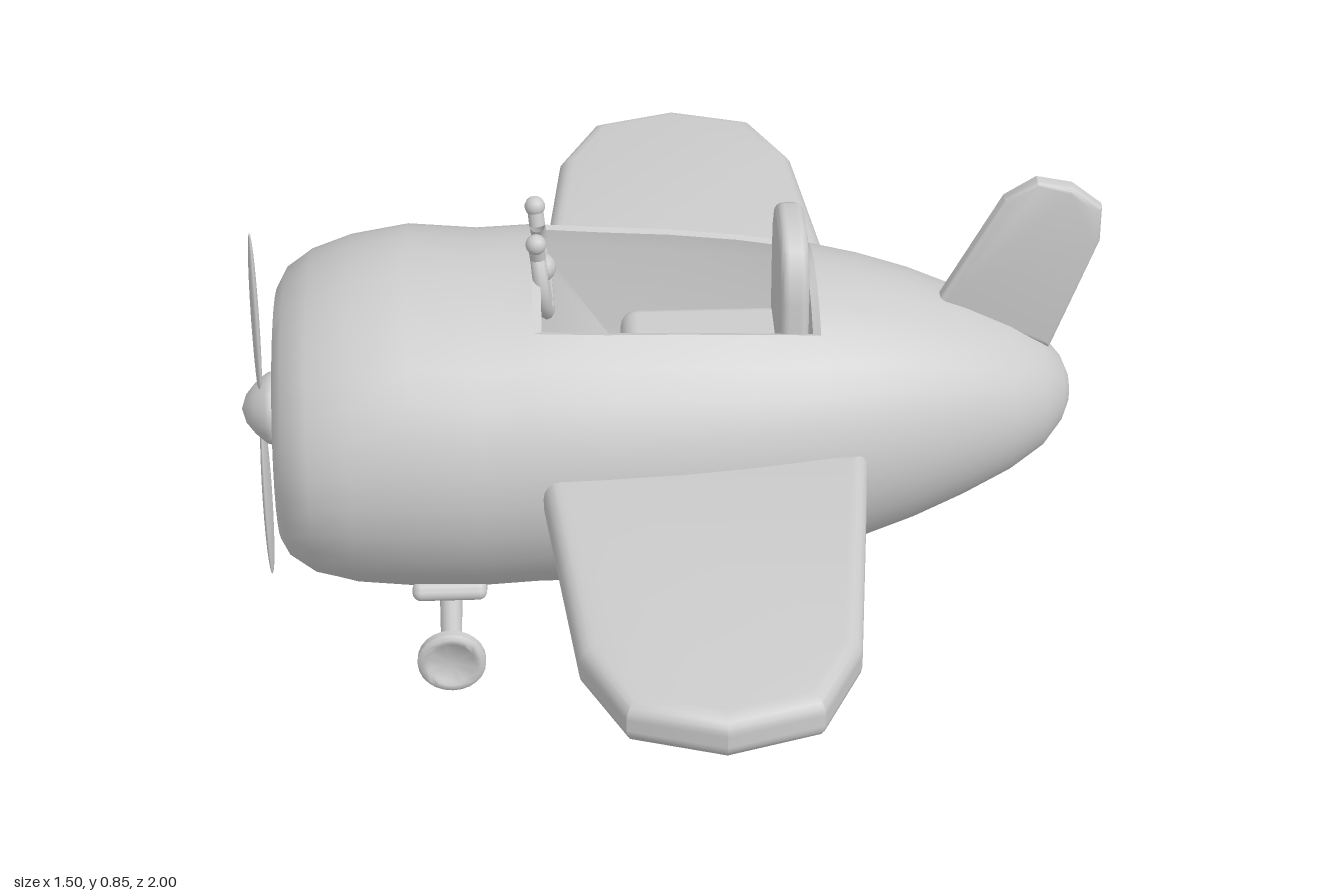
import * as THREE from 'three';
import { toCreasedNormals } from 'three/addons/utils/BufferGeometryUtils.js';
import { RoundedBoxGeometry } from 'three/addons/geometries/RoundedBoxGeometry.js';

const material = new THREE.MeshStandardMaterial({ color: 0xcccccc, side: THREE.DoubleSide });
const V = (x, y, z) => new THREE.Vector3(x, y, z);

function add(parent, name, geometry, x = 0, y = 0, z = 0) {
  const mesh = new THREE.Mesh(geometry, material);
  mesh.name = name;
  mesh.position.set(x, y, z);
  parent.add(mesh);
  return mesh;
}

// Surface through closed rings of points; skip(i, j) leaves a face out
function loft(rings, skip = () => false) {
  const n = rings[0].length, index = [];
  for (let i = 0; i < rings.length - 1; i++) {
    for (let j = 0; j < n; j++) {
      if (skip(i, j)) continue;
      const k = (j + 1) % n, a = i * n, b = a + n;
      index.push(a + j, a + k, b + j, a + k, b + k, b + j);
    }
  }
  const geometry = new THREE.BufferGeometry().setFromPoints(rings.flat());
  geometry.setIndex(index);
  return toCreasedNormals(geometry, 0.75);
}

// Flat outline with rounded edges, centred on its own thickness
function slab(points, thickness, bevel) {
  const shape = new THREE.Shape(points.map(([x, y]) => new THREE.Vector2(x, y)));
  const depth = thickness - 2 * bevel;
  const geometry = new THREE.ExtrudeGeometry(shape, {
    depth, bevelThickness: bevel, bevelSize: bevel, bevelOffset: -bevel, bevelSegments: 4,
  });
  return toCreasedNormals(geometry.translate(0, 0, -depth / 2), 0.6);
}

// Round bar between two points
function bar(parent, name, a, b, radius) {
  const mesh = add(parent, name, new THREE.CylinderGeometry(radius, radius, a.distanceTo(b), 14));
  mesh.position.copy(a).add(b).multiplyScalar(0.5);
  mesh.quaternion.setFromUnitVectors(V(0, 1, 0), b.clone().sub(a).normalize());
  return mesh;
}

// Fuselage stations: x, centre height, half height, half width
const SIDES = 32, RIM = 3;
const STATIONS = [
  [-0.59, 0.42, 0, 0], [-0.59, 0.42, 0.18, 0.185], [-0.655, 0.42, 0.187, 0.195],
  [-0.678, 0.415, 0.2, 0.215], [-0.682, 0.415, 0.215, 0.24], [-0.665, 0.42, 0.24, 0.285],
  [-0.62, 0.42, 0.272, 0.315], [-0.55, 0.423, 0.297, 0.328], [-0.45, 0.427, 0.312, 0.335],
  [-0.33, 0.42, 0.306, 0.337], [-0.235, 0.425, 0.306, 0.335], [-0.11, 0.421, 0.302, 0.33],
  [0.01, 0.421, 0.296, 0.321], [0.13, 0.422, 0.284, 0.306], [0.255, 0.425, 0.266, 0.283],
  [0.34, 0.427, 0.246, 0.26], [0.43, 0.429, 0.217, 0.229], [0.52, 0.43, 0.18, 0.19],
  [0.6, 0.43, 0.14, 0.15], [0.66, 0.43, 0.1, 0.106], [0.695, 0.43, 0.058, 0.06],
  [0.708, 0.43, 0.027, 0.028], [0.712, 0.43, 0, 0],
];
const FRONT = 10, REAR = 14; // stations at the ends of the cockpit

function surfacePoint(i, j) {
  const [x, cy, ry, rz] = STATIONS[i], a = (j / SIDES) * Math.PI * 2;
  return V(x, cy + ry * Math.cos(a), rz * Math.sin(a));
}

function buildFuselage(group) {
  const rings = STATIONS.map((_, i) => Array.from({ length: SIDES }, (_, j) => surfacePoint(i, j)));
  const open = (i, j) => i >= FRONT && i < REAR && (j < RIM || j >= SIDES - RIM);
  add(group, 'fuselage', loft(rings, open));

  // Cockpit tub drops from the opening, with a narrow lip, to a smaller floor
  const rim = [];
  for (let j = -RIM; j < RIM; j++) rim.push(surfacePoint(FRONT, j));
  for (let i = FRONT; i < REAR; i++) rim.push(surfacePoint(i, RIM));
  for (let j = RIM; j > -RIM; j--) rim.push(surfacePoint(REAR, j));
  for (let i = REAR; i > FRONT; i--) rim.push(surfacePoint(i, -RIM));
  const clamp = THREE.MathUtils.clamp;
  const lip = rim.map((p) => V(clamp(p.x, -0.22, 0.242), p.y - 0.004, p.z * 0.93));
  const under = lip.map((p) => V(p.x, Math.min(p.y - 0.03, 0.64), p.z));
  const floor = rim.map((p) => V(clamp(p.x, -0.08, 0.24), 0.45, p.z * 0.74));
  const middle = rim.map(() => V(0.08, 0.45, 0));
  add(group, 'cockpitTub', loft([rim, lip, under, floor, middle]));
}

function buildWings(group) {
  const outline = [[-0.232, 0.25], [0.332, 0.25], [0.275, 0.8], [0.205, 0.95],
    [0.05, 1], [-0.105, 0.95], [-0.175, 0.8]];
  for (const side of [1, -1]) {
    const geometry = slab(outline, 0.08, 0.03).rotateX(side * Math.PI / 2);
    add(group, side > 0 ? 'leftWing' : 'rightWing', geometry, 0, 0.433, 0);
  }
  const fin = [[0.47, 0.62], [0.67, 0.52], [0.747, 0.735], [0.747, 0.8],
    [0.695, 0.842], [0.632, 0.855], [0.577, 0.82]];
  add(group, 'tailFin', slab(fin, 0.034, 0.012));
}

function buildPropeller(group) {
  const propeller = new THREE.Group();
  propeller.name = 'propeller';
  propeller.position.set(0, 0.425, 0);
  group.add(propeller);
  bar(propeller, 'hub', V(-0.59, 0, 0), V(-0.685, 0, 0), 0.05);
  const profile = [[0, 0], [0.06, 0], [0.066, 0.008], [0.062, 0.02], [0.045, 0.04], [0.025, 0.056], [0, 0.064]];
  const spinner = new THREE.LatheGeometry(profile.map(([r, y]) => new THREE.Vector2(r, y)), 20);
  add(propeller, 'spinner', spinner.rotateZ(Math.PI / 2), -0.685);
  // Tapered blades, thin along x
  for (const side of [1, -1]) {
    const blade = new THREE.SphereGeometry(1, 14, 14).scale(0.007, 0.17, 0.029);
    add(propeller, 'blade', blade, -0.715, side * 0.185, 0).rotation.y = side * 0.12;
  }
}

function buildSeat(group) {
  add(group, 'seatCushion', new RoundedBoxGeometry(0.29, 0.11, 0.22, 3, 0.03), 0.065, 0.5, 0);
  const outline = [[-0.118, 0.48], [0.118, 0.48], [0.118, 0.68], [0.11, 0.73],
    [0.085, 0.77], [0.045, 0.79], [-0.045, 0.79], [-0.085, 0.77], [-0.11, 0.73], [-0.118, 0.68]];
  add(group, 'seatBack', slab(outline, 0.05, 0.016).rotateY(Math.PI / 2), 0.213);
}

function buildSteering(group) {
  const yoke = new THREE.Group();
  yoke.name = 'steeringWheel';
  yoke.position.set(-0.218, 0.7, 0);
  yoke.rotation.z = 0.1;
  group.add(yoke);
  // Ring open at the top, ending in two upright grips
  const gap = 0.85, r = 0.077;
  const ring = new THREE.TorusGeometry(r, 0.014, 10, 28, Math.PI * 2 - 2 * gap);
  add(yoke, 'rim', ring.rotateZ(Math.PI / 2 + gap).rotateY(Math.PI / 2));
  for (const side of [1, -1]) {
    const end = V(0, r * Math.cos(gap), side * r * Math.sin(gap));
    const tip = V(0, 0.084, side * 0.066);
    bar(yoke, 'grip', end, tip, 0.014);
    add(yoke, 'gripEnd', new THREE.SphereGeometry(0.018, 12, 10), tip.x, tip.y, tip.z);
    bar(yoke, 'spoke', V(0, 0, 0), V(0, 0, side * r), 0.012);
  }
  bar(yoke, 'spoke', V(0, 0, 0), V(0, -r, 0), 0.012);
  add(yoke, 'hub', new THREE.SphereGeometry(0.026, 14, 10));
  bar(yoke, 'column', V(0, -0.01, 0), V(-0.09, -0.05, 0), 0.016);
}

function buildLandingGear(group) {
  const gear = new THREE.Group();
  gear.name = 'landingGear';
  gear.position.x = -0.39;
  group.add(gear);
  bar(gear, 'axle', V(0, 0.062, -0.265), V(0, 0.062, 0.265), 0.018);
  const tyre = [[0, -0.008], [0.04, -0.008], [0.045, -0.013], [0.053, -0.013], [0.06, -0.007],
    [0.06, 0.007], [0.053, 0.013], [0.045, 0.013], [0.04, 0.008], [0, 0.008]];
  for (const side of [1, -1]) {
    const wheel = new THREE.LatheGeometry(tyre.map(([r, y]) => new THREE.Vector2(r, y)), 24);
    add(gear, 'wheel', toCreasedNormals(wheel, 0.8).rotateX(Math.PI / 2), 0, 0.062, side * 0.268);
    bar(gear, 'strut', V(0, 0.16, side * 0.19), V(0, 0.066, side * 0.243), 0.019);
    // Mounting plate lies against the belly
    const plate = add(gear, 'mountingPlate', new RoundedBoxGeometry(0.13, 0.035, 0.11, 3, 0.015), 0, 0.167, side * 0.198);
    plate.rotation.x = -side * 0.54;
  }
}

export function createModel() {
  const group = new THREE.Group();
  group.name = 'toyPlane';
  buildFuselage(group);
  buildWings(group);
  buildPropeller(group);
  buildSeat(group);
  buildSteering(group);
  buildLandingGear(group);
  return group;
}
